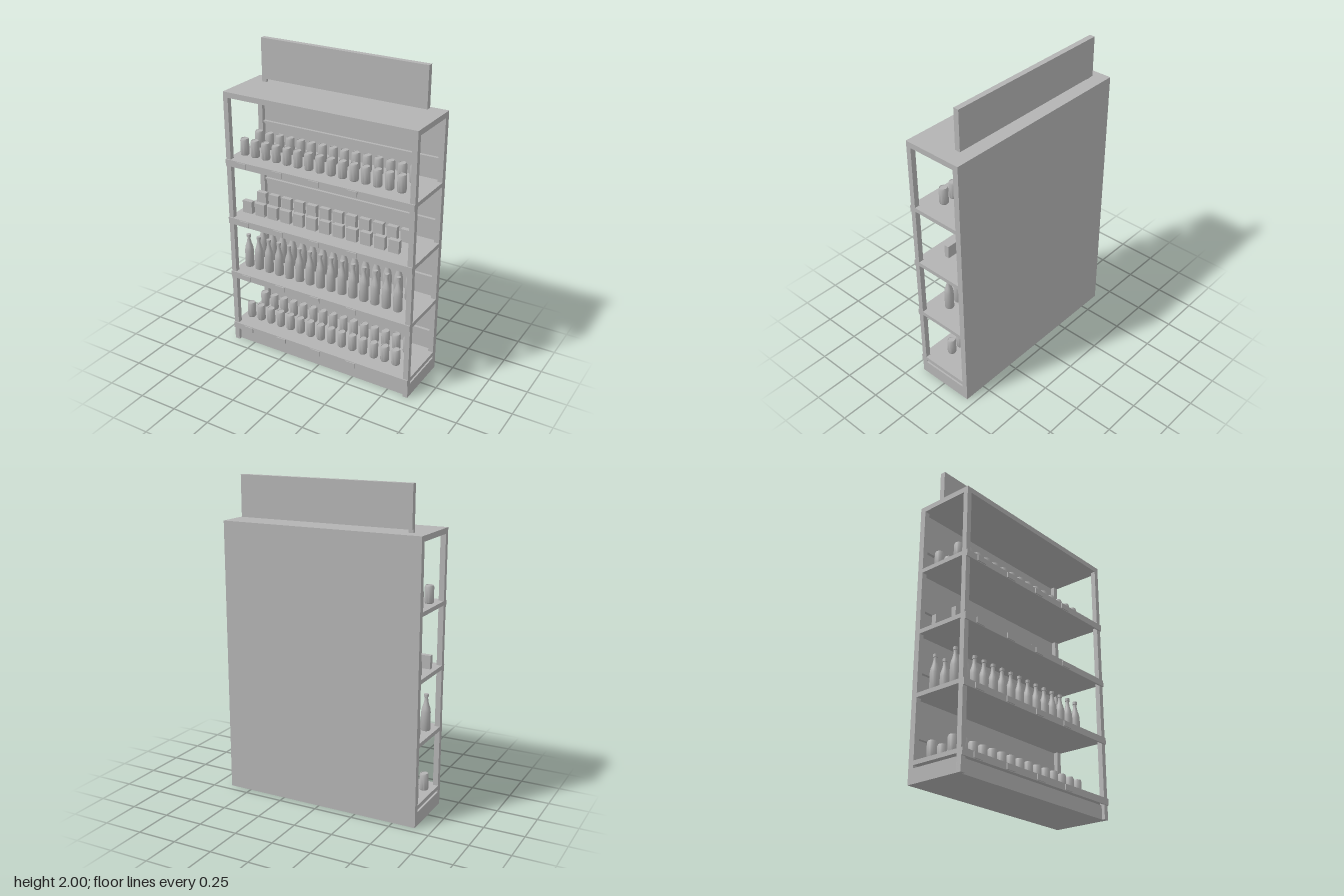
import * as THREE from 'three';
import { toCreasedNormals } from 'three/addons/utils/BufferGeometryUtils.js';

export function createModel() {
  const model = new THREE.Group();
  model.name = 'displayShelf';
  const grey = new THREE.MeshStandardMaterial({ color: 0xb3b3b3 });
  grey.name = 'grey';

  const add = (name, geometry, x = 0, y = 0, z = 0, parent = model) => {
    const mesh = new THREE.Mesh(geometry, grey);
    mesh.name = name;
    mesh.position.set(x, y, z);
    parent.add(mesh);
    return mesh;
  };
  // Box given by its limits on each axis
  const block = (name, [x0, x1], [y0, y1], [z0, z1], parent) =>
    add(name, new THREE.BoxGeometry(x1 - x0, y1 - y0, z1 - z0),
      (x0 + x1) / 2, (y0 + y1) / 2, (z0 + z1) / 2, parent);
  const lathe = (points) => toCreasedNormals(
    new THREE.LatheGeometry(points.map(([r, y]) => new THREE.Vector2(r, y)), 16), 0.6);

  const W = 0.645, INNER = 0.612, TOP = 1.727, BACK = -0.2, FRONT = 0.185;

  // Cabinet frame
  block('backPanel', [-W, W], [0, TOP], [BACK, -0.19]);
  block('topBoard', [-W, W], [1.693, TOP], [BACK, FRONT]);
  block('base', [-W, W], [0, 0.087], [BACK, 0.165]);
  for (const [x0, x1] of [[-W, -INNER], [INNER, W]]) {
    block('frontPost', [x0, x1], [0, 1.693], [0.153, FRONT]);
    block('backPost', [x0, x1], [0, 1.693], [-0.19, -0.163]);
  }

  // Header sign on its single foot
  block('sign', [-0.558, 0.558], [1.747, 2], [-0.133, -0.098]);
  block('signFoot', [-0.558, -0.527], [TOP, 1.747], [-0.114, -0.098]);

  // Goods
  const can = lathe([[0, 0], [0.024, 0], [0.0275, 0.006], [0.0275, 0.096],
    [0.023, 0.107], [0.021, 0.107], [0.02, 0.104], [0, 0.104]]);
  const bottle = lathe([[0, 0], [0.027, 0], [0.0285, 0.004], [0.0285, 0.115],
    [0.025, 0.14], [0.016, 0.168], [0.0115, 0.19], [0.0105, 0.208],
    [0.014, 0.21], [0.014, 0.228], [0, 0.228]]);
  const carton = new THREE.BoxGeometry(0.069, 0.082, 0.032).translate(0, 0.041, 0);

  const shelves = [
    { y: 0.130, name: 'can', geometry: can, count: 15, start: -0.587, step: 0.0777 },
    { y: 0.517, name: 'bottle', geometry: bottle, count: 15, start: -0.587, step: 0.0777 },
    { y: 0.904, name: 'carton', geometry: carton, count: 12, start: -0.577, step: 0.095 },
    { y: 1.298, name: 'can', geometry: can, count: 15, start: -0.587, step: 0.0777 },
  ];
  for (const { y, name, geometry, count, start, step } of shelves) {
    const shelf = new THREE.Group();
    shelf.name = 'shelf';
    shelf.position.y = y;
    model.add(shelf);
    block('shelfBoard', [-W, W], [-0.026, 0], [-0.19, 0.184], shelf);
    block('shelfLip', [-W, W], [-0.042, 0], [0.183, 0.193], shelf);
    block('backRail', [-INNER, INNER], [0.132, 0.143], [-0.19, -0.17], shelf);
    // Price tags on the lip
    for (let i = 0; i < 4; i++) {
      const x = -0.525 + i * 0.258;
      block('priceTag', [x - 0.034, x + 0.034], [-0.038, -0.004], [0.193, 0.2], shelf);
    }
    // Two rows of goods
    for (const z of [0.068, -0.087])
      for (let i = 0; i < count; i++) add(name, geometry, start + i * step, 0, z, shelf);
  }
  return model;
}
